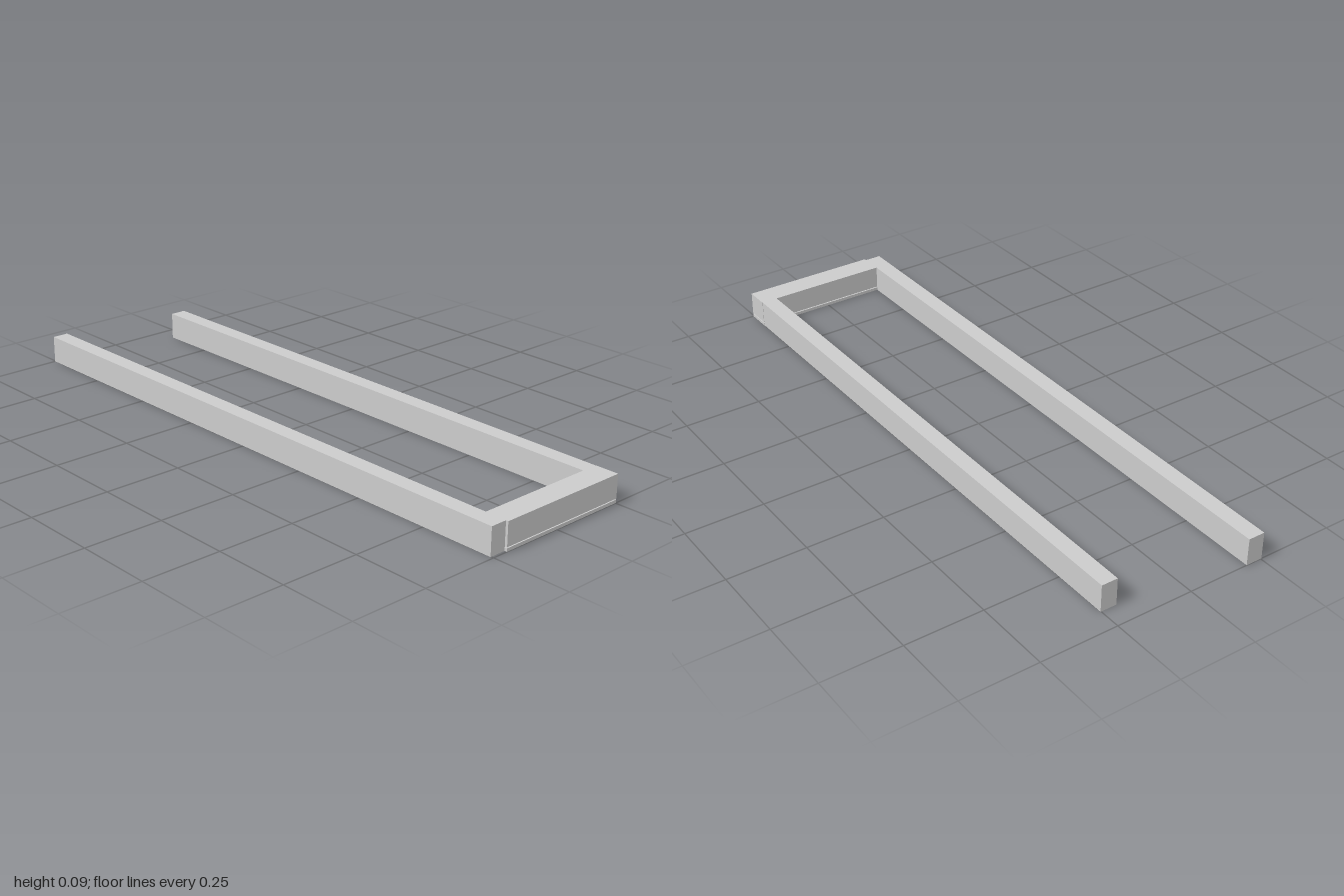
import * as THREE from 'three';

const material = new THREE.MeshStandardMaterial({ color: 0xcccccc, flatShading: true });

// Box given by its extents along x, y and z
function addBox(group, name, [x0, x1], [y0, y1], [z0, z1]) {
  const mesh = new THREE.Mesh(new THREE.BoxGeometry(x1 - x0, y1 - y0, z1 - z0), material);
  mesh.position.set((x0 + x1) / 2, (y0 + y1) / 2, (z0 + z1) / 2);
  mesh.name = name;
  group.add(mesh);
}

export function createModel() {
  const group = new THREE.Group();
  group.name = 'openFrame';
  const height = 0.088;

  // Long rails; the front one also closes the corner
  addBox(group, 'frontRail', [-1, 0.992], [0, height], [0.199, 0.253]);
  addBox(group, 'backRail', [-0.93, 0.922], [0, height], [-0.252, -0.199]);

  // End crosspiece: a tall bar over a thin base strip, with a narrow gap between
  const endX = [0.922, 1], endZ = [-0.253, 0.199];
  addBox(group, 'endBar', endX, [0.013, height], endZ);
  addBox(group, 'endBaseStrip', endX, [0, 0.01], endZ);

  return group;
}
